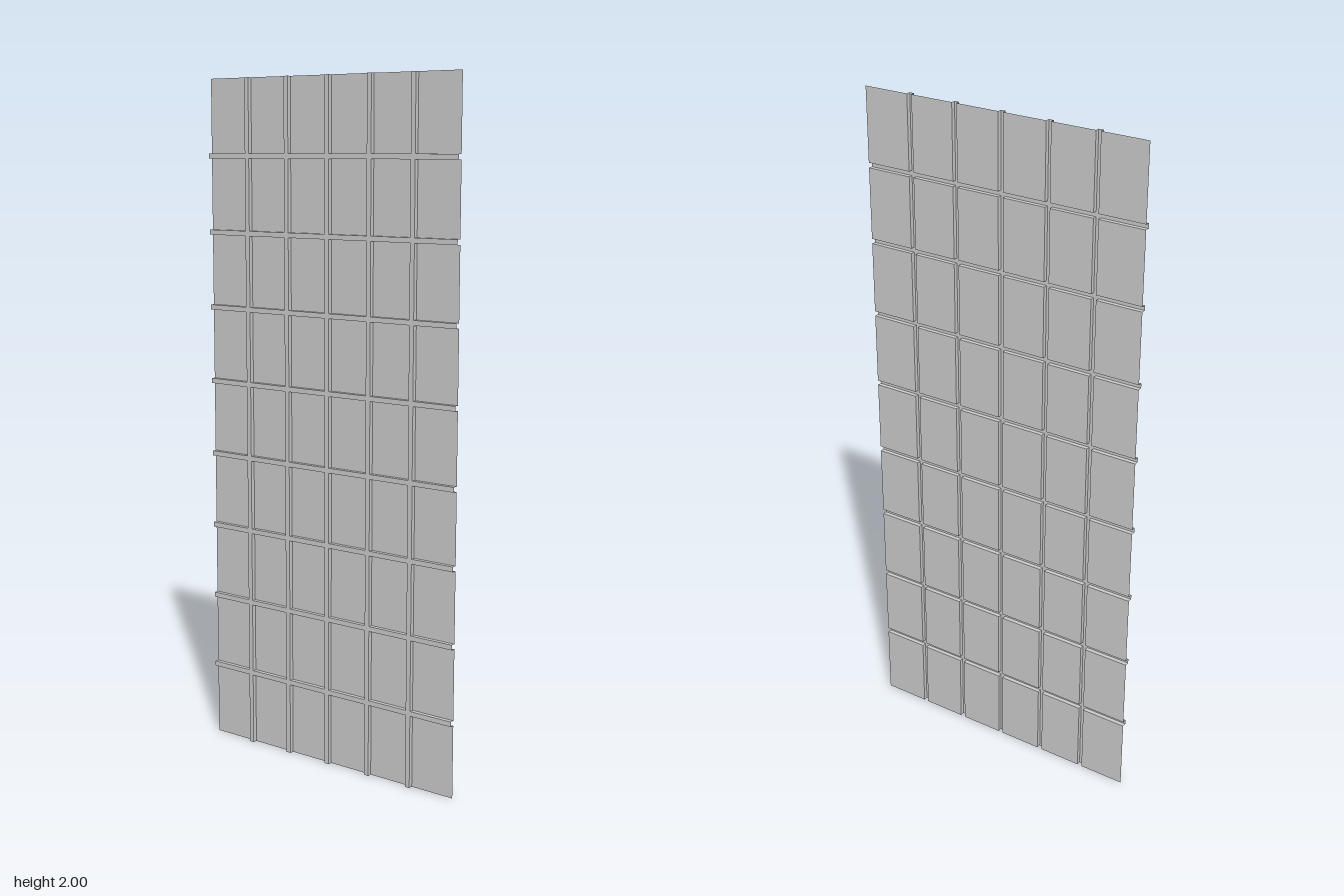
import * as THREE from 'three';
import { mergeGeometries } from 'three/addons/utils/BufferGeometryUtils.js';

const COLS = 6, ROWS = 9;
const STEP_Z = 0.1455, STEP_Y = 2 / ROWS;
const HALF_GROOVE = 0.0073; // half the groove width
const FACE_X = 0.0064; // raised tiles at +x, groove floors at -x

// Start and end of each raised tile along one axis; the outer tiles run to the rim
function tileSpans(count, step, start) {
  return Array.from({ length: count }, (_, i) => [
    start + i * step + (i > 0 ? HALF_GROOVE : 0),
    start + (i + 1) * step - (i < count - 1 ? HALF_GROOVE : 0),
  ]);
}

// Grooves fill the spaces between neighbouring tiles
const grooveSpans = (tiles) => tiles.slice(1).map(([a], i) => [tiles[i][1], a]);

// Rectangle facing +x
function panel(x, [z0, z1], [y0, y1]) {
  return new THREE.PlaneGeometry(z1 - z0, y1 - y0)
    .rotateY(Math.PI / 2)
    .translate(x, (y0 + y1) / 2, (z0 + z1) / 2);
}

// Wall across the sheet's depth, running along y at a fixed z
function uprightWall(z, [y0, y1], facing) {
  return new THREE.PlaneGeometry(2 * FACE_X, y1 - y0)
    .rotateY(facing > 0 ? 0 : Math.PI)
    .translate(0, (y0 + y1) / 2, z);
}

// Wall across the sheet's depth, running along z at a fixed y
function levelWall(y, [z0, z1], facing) {
  return new THREE.PlaneGeometry(2 * FACE_X, z1 - z0)
    .rotateX(-facing * Math.PI / 2)
    .translate(0, y, (z0 + z1) / 2);
}

export function createModel() {
  const group = new THREE.Group();
  group.name = 'groovedPanel';
  const material = new THREE.MeshStandardMaterial({ color: 0xcccccc, side: THREE.DoubleSide });

  const zTiles = tileSpans(COLS, STEP_Z, -COLS * STEP_Z / 2);
  const yTiles = tileSpans(ROWS, STEP_Y, 0);
  const zGrooves = grooveSpans(zTiles), yGrooves = grooveSpans(yTiles);
  const tiles = [], walls = [], floors = [];

  // Raised tiles, each with a wall along every side that meets a groove
  zTiles.forEach((z, c) => yTiles.forEach((y, r) => {
    tiles.push(panel(FACE_X, z, y));
    if (c > 0) walls.push(uprightWall(z[0], y, -1));
    if (c < COLS - 1) walls.push(uprightWall(z[1], y, 1));
    if (r > 0) walls.push(levelWall(y[0], z, -1));
    if (r < ROWS - 1) walls.push(levelWall(y[1], z, 1));
  }));

  // Upright floors run full height; level floors fill in between them
  zGrooves.forEach((z) => floors.push(panel(-FACE_X, z, [0, 2])));
  yGrooves.forEach((y) => zTiles.forEach((z) => floors.push(panel(-FACE_X, z, y))));

  const parts = { tiles, grooveWalls: walls, grooveFloors: floors };
  for (const [name, geometries] of Object.entries(parts)) {
    const mesh = new THREE.Mesh(mergeGeometries(geometries), material);
    mesh.name = name;
    group.add(mesh);
  }
  return group;
}
